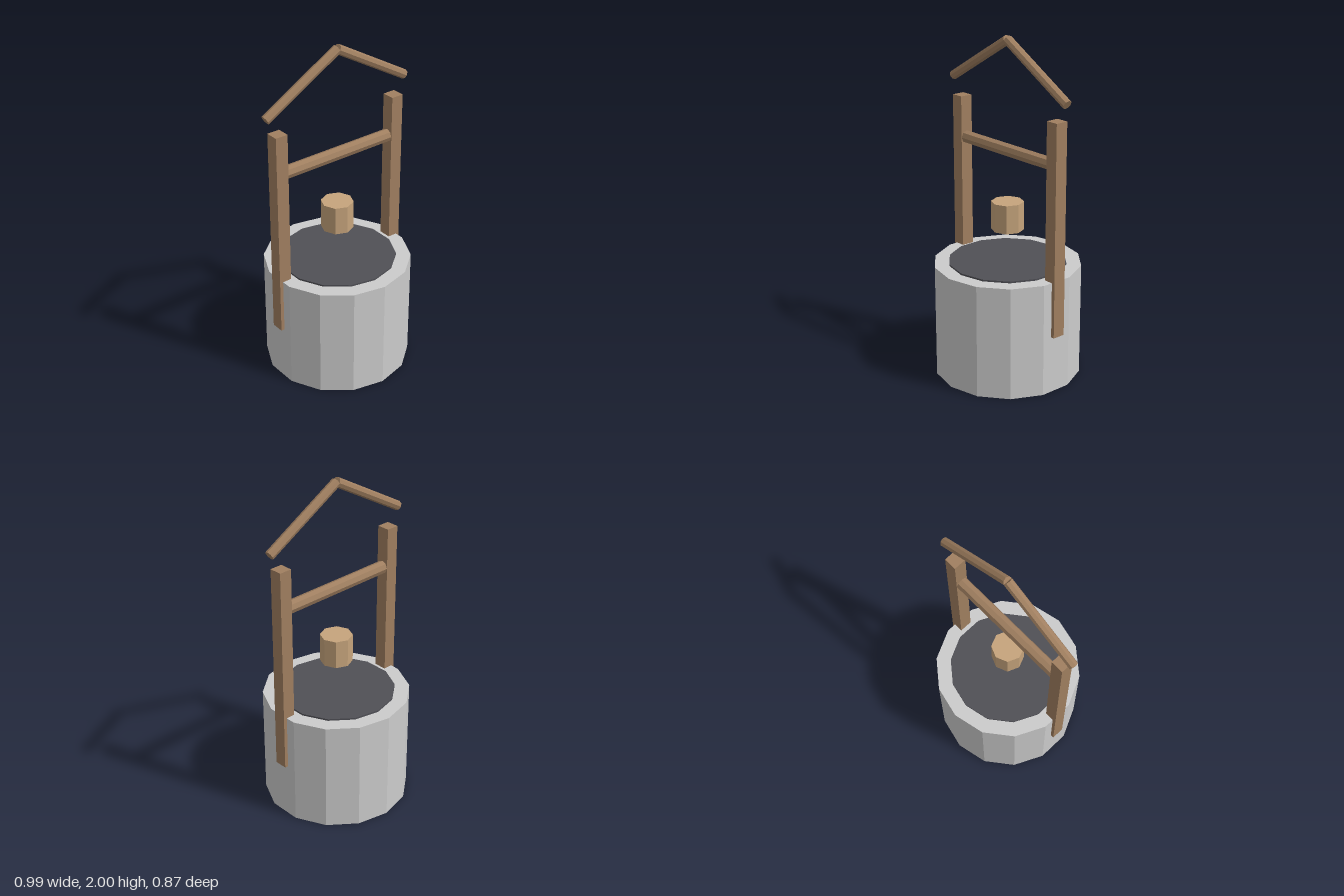
import * as THREE from 'three';

const material = (color) => new THREE.MeshStandardMaterial({ color, flatShading: true });
const stone = material(0xcccccc);
const dark = material(0x505056);
const timber = material(0xa07f60);
const paleWood = material(0xc6a47c);

export function createModel() {
  const model = new THREE.Group();

  const add = (name, geometry, mat, x, y, z = 0, rotZ = 0) => {
    const mesh = new THREE.Mesh(geometry, mat);
    mesh.name = name;
    mesh.position.set(x, y, z);
    mesh.rotation.z = rotZ;
    model.add(mesh);
  };
  const prism = (radius, height, sides) => new THREE.CylinderGeometry(radius, radius, height, sides);

  // Stone well body with a thin dark disc for the opening
  add('wellWall', prism(0.433, 0.676, 14), stone, 0, 0.338);
  add('wellOpening', prism(0.346, 0.02, 14), dark, 0, 0.676);

  // Hanging bucket
  add('bucket', prism(0.095, 0.17, 8), paleWood, 0, 0.957);

  // Crossbeam between the posts
  add('crossbeam', prism(0.038, 0.78, 8), timber, 0, 1.348, 0, Math.PI / 2);

  // Posts and sloping roof poles, mirrored left and right
  const slope = Math.PI / 6;
  const poleLength = 0.555;
  const poleRadius = 0.028;
  const ridgeY = 2 - poleRadius * Math.cos(slope);
  for (const [side, s] of [['left', 1], ['right', -1]]) {
    add(side + 'Post', new THREE.BoxGeometry(0.077, 1.25, 0.077), timber, s * 0.405, 0.97);
    add(side + 'RoofPole', prism(poleRadius, poleLength, 8), timber,
      s * Math.cos(slope) * poleLength / 2, ridgeY - Math.sin(slope) * poleLength / 2, 0,
      s * (Math.PI / 2 - slope));
  }

  return model;
}
